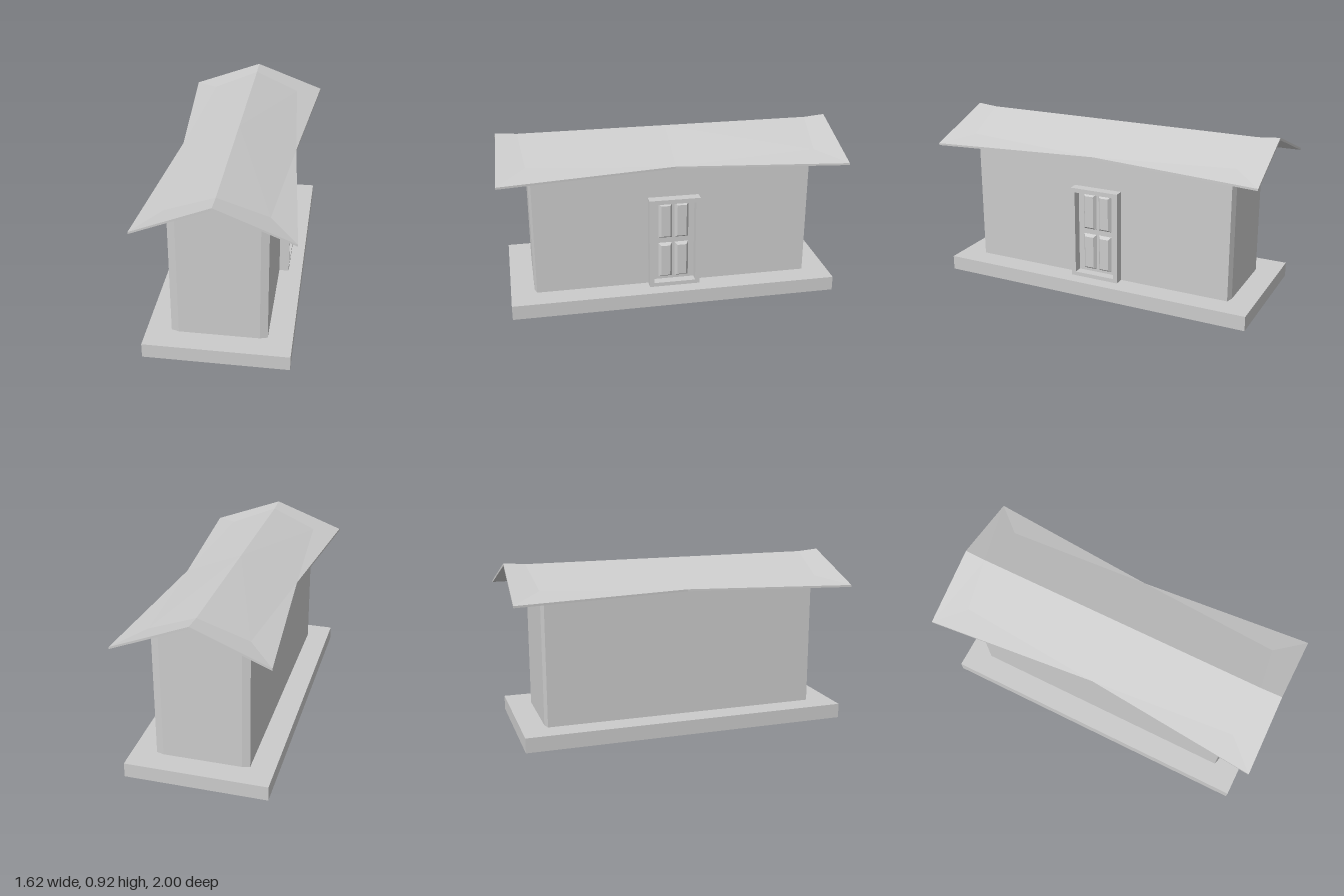
import * as THREE from 'three';

const mat = new THREE.MeshStandardMaterial({ color: 0xcccccc, flatShading: true });

function add(parent, name, geometry) {
  const mesh = new THREE.Mesh(geometry, mat);
  mesh.name = name;
  parent.add(mesh);
  return mesh;
}

// Walls: chamfered plan extruded upward, tops lifted to a gable
function wallGeometry() {
  const w = 0.25, l = 0.765, cx = 0.04, cz = 0.012;
  const plan = [
    [0, -l], [w - cx, -l], [w, cz - l], [w, l - cz], [w - cx, l],
    [0, l], [cx - w, l], [-w, l - cz], [-w, cz - l], [cx - w, -l],
  ].map(([x, y]) => new THREE.Vector2(x, y));
  const geo = new THREE.ExtrudeGeometry(new THREE.Shape(plan), { depth: 0.7, bevelEnabled: false });
  geo.rotateX(-Math.PI / 2);
  const p = geo.attributes.position;
  for (let i = 0; i < p.count; i++) {
    p.setY(i, p.getY(i) > 0.35 ? 0.892 - 0.37 * Math.abs(p.getX(i)) : 0.07);
  }
  geo.computeVertexNormals();
  return geo;
}

// Roof: one quarter of a thin, flared shell, mirrored four ways
function roofGeometry() {
  // x, top y, z, thickness
  const pts = [
    [0, 0.91, 0, 0.022],          // ridge middle
    [0, 0.91, 0.8, 0.022],        // ridge kink
    [0, 0.92, 0.914, 0.012],      // ridge end
    [0.395, 0.768, 0.927, 0.011], // eave corner
    [0.313, 0.783, 0, 0.011],     // eave middle
    [0.255, 0.808, 0.773, 0.011], // slope kink
  ];
  const faces = [[0, 1, 5], [0, 5, 4], [1, 2, 3], [1, 3, 5], [5, 3, 4]];
  const out = [];
  for (const sx of [1, -1]) for (const sz of [1, -1]) {
    const top = (i) => [pts[i][0] * sx, pts[i][1], pts[i][2] * sz];
    const low = (i) => [pts[i][0] * sx, pts[i][1] - pts[i][3], pts[i][2] * sz];
    const tri = (a, b, c) => out.push(...(sx * sz > 0 ? [a, b, c] : [a, c, b]).flat());
    for (const [a, b, c] of faces) {
      tri(top(a), top(b), top(c));
      tri(low(a), low(c), low(b));
    }
    for (const [a, b] of [[2, 3], [3, 4]]) {
      tri(low(a), low(b), top(b));
      tri(low(a), top(b), top(a));
    }
  }
  const geo = new THREE.BufferGeometry();
  geo.setAttribute('position', new THREE.Float32BufferAttribute(out, 3));
  geo.computeVertexNormals();
  return geo;
}

function rect(Type, w, y0, y1) {
  const s = new Type();
  s.moveTo(-w, y0);
  s.lineTo(w, y0);
  s.lineTo(w, y1);
  s.lineTo(-w, y1);
  s.closePath();
  return s;
}

// Raised door panel with sloping sides, facing +z
function panelGeometry(w, h, depth, slope) {
  const geo = new THREE.BoxGeometry(w, h, depth);
  const p = geo.attributes.position;
  for (let i = 0; i < p.count; i++) {
    if (p.getZ(i) < 0) continue;
    p.setX(i, p.getX(i) - Math.sign(p.getX(i)) * slope);
    p.setY(i, p.getY(i) - Math.sign(p.getY(i)) * slope);
  }
  geo.computeVertexNormals();
  return geo;
}

function createDoor() {
  const door = new THREE.Group();
  door.name = 'door';
  const outline = rect(THREE.Shape, 0.139, 0.08, 0.592);
  outline.holes.push(rect(THREE.Path, 0.115, 0.102, 0.568));
  const frame = new THREE.ExtrudeGeometry(outline, { depth: 0.063, bevelEnabled: false });
  add(door, 'doorFrame', frame).position.z = 0.24;
  add(door, 'doorLeaf', new THREE.BoxGeometry(0.232, 0.468, 0.02)).position.set(0, 0.335, 0.245);
  for (const x of [-0.045, 0.045]) {
    for (const y of [0.22, 0.455]) {
      add(door, 'doorPanel', panelGeometry(0.076, 0.205, 0.018, 0.013)).position.set(x, y, 0.264);
    }
  }
  door.rotation.y = Math.PI / 2;
  return door;
}

export function createModel() {
  const model = new THREE.Group();
  model.name = 'house';
  const house = new THREE.Group();
  house.name = 'building';
  add(house, 'foundation', new THREE.BoxGeometry(0.757, 0.08, 1.786)).position.y = 0.04;
  add(house, 'walls', wallGeometry());
  add(house, 'roof', roofGeometry());
  house.add(createDoor());
  // The building stands turned on its plot
  house.rotation.y = THREE.MathUtils.degToRad(-30.2);
  model.add(house);
  return model;
}
